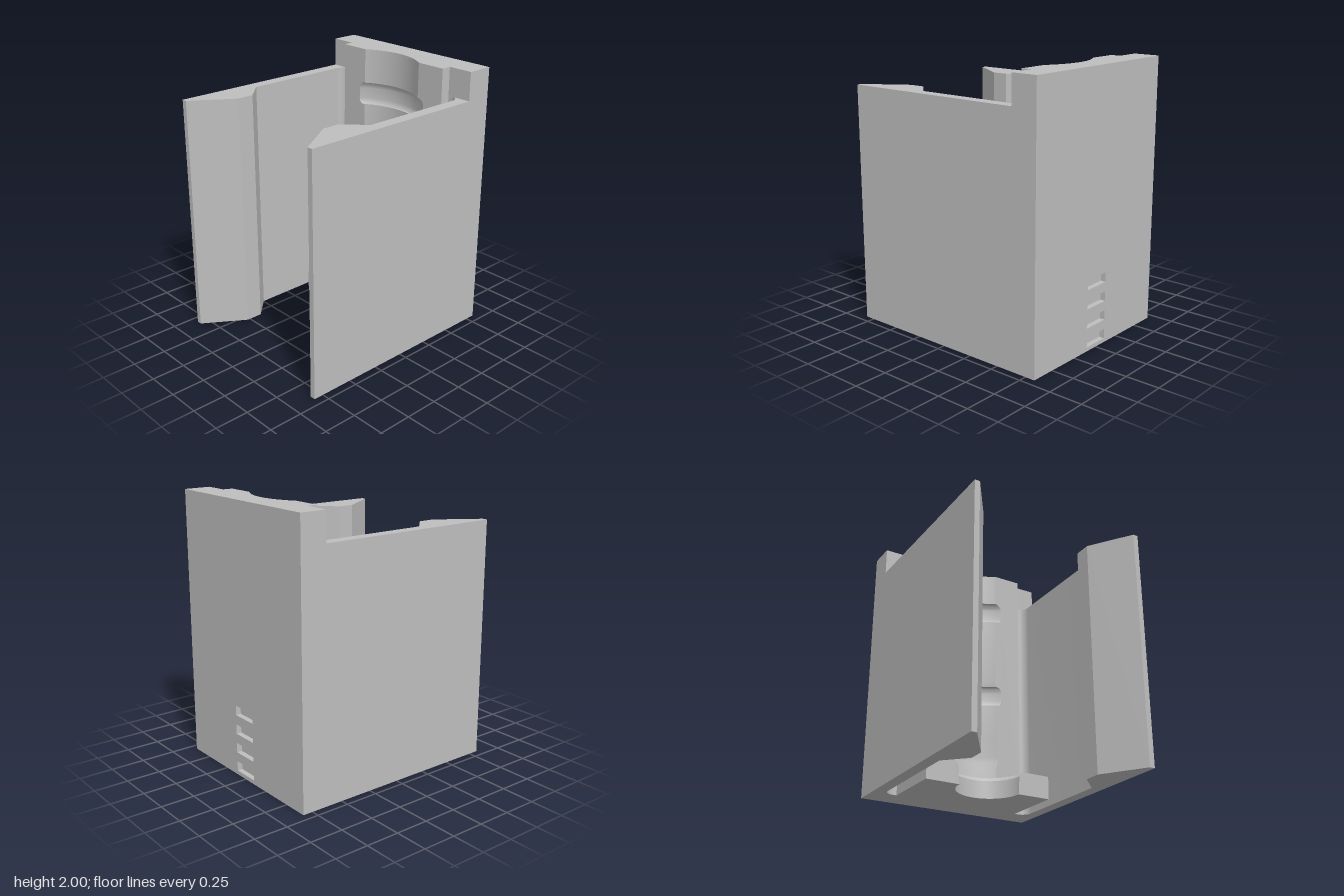
import * as THREE from 'three';
import { toCreasedNormals } from 'three/addons/utils/BufferGeometryUtils.js';

const AXIS_Z = -0.15;   // vertical axis of the holder bore
const FACE_Z = -0.55;   // front face of the raised pad
const CORE_Z = -0.68;   // front of the solid back wall

// Half-widths of the bore where it meets the pad face: [halfWidth, y]
const bore = [
  [0.274, 2], [0.274, 1.74], [0.30, 1.735], [0.325, 1.712], [0.33, 1.69], [0.33, 1.61], [0.325, 1.585], [0.305, 1.57],
  [0.276, 1.57], [0.276, 1.03], [0.285, 0.99], [0.315, 0.985], [0.332, 0.965], [0.335, 0.94], [0.335, 0.88],
  [0.33, 0.85], [0.31, 0.83], [0.284, 0.83], [0.284, 0.70], [0.29, 0.56], [0.304, 0.40], [0.303, 0.36],
  [0.29, 0.31], [0.287, 0.22], [0.28, 0.19], [0.265, 0.17],
];

export function createModel() {
  const model = new THREE.Group();
  const grey = new THREE.MeshStandardMaterial({ color: 0xbebebe });
  grey.name = 'greyPlastic';

  const add = (name, geometry) => {
    const mesh = new THREE.Mesh(geometry, grey);
    mesh.name = name;
    model.add(mesh);
    return mesh;
  };
  const box = (name, x0, x1, y0, y1, z0, z1) =>
    add(name, new THREE.BoxGeometry(x1 - x0, y1 - y0, z1 - z0))
      .position.set((x0 + x1) / 2, (y0 + y1) / 2, (z0 + z1) / 2);
  const outline = (points) => new THREE.Shape(points.map(([a, b]) => new THREE.Vector2(a, b)));
  const extrude = (shape, depth) =>
    new THREE.ExtrudeGeometry(shape, { depth, bevelEnabled: false, curveSegments: 32 });
  // Extrudes a plan of (x, z) points upwards from y = 0
  const plan = (points, height) =>
    toCreasedNormals(extrude(outline(points.map(([x, z]) => [x, -z])), height).rotateX(-Math.PI / 2), 0.5);
  const arc = (cx, cz, r, from, to, n) => Array.from({ length: n + 1 }, (_, i) => {
    const a = from + (to - from) * i / n;
    return [cx + r * Math.cos(a), cz + r * Math.sin(a)];
  });

  // Back plate with four shallow slots
  const plate = outline([[-0.69, 0], [0.69, 0], [0.69, 2], [-0.69, 2]]);
  for (let i = 0; i < 4; i++) {
    const y = 0.03 + i * 0.143;
    plate.holes.push(new THREE.Path([[-0.105, y], [-0.105, y + 0.072], [0.105, y + 0.072], [0.105, y]]
      .map(([a, b]) => new THREE.Vector2(a, b))));
  }
  add('slottedBackPlate', extrude(plate, 0.04).translate(0, 0, -0.825));
  box('backWall', -0.69, 0.69, 0, 2, -0.785, CORE_Z);

  // Shoulders beside the pad and hooked side arms with a filleted root
  for (const s of [-1, 1]) {
    box(s > 0 ? 'leftShoulder' : 'rightShoulder',
      s > 0 ? 0.5 : -0.69, s > 0 ? 0.69 : -0.5, 0, 2, CORE_Z, -0.625);
    const arm = [[0.69, -0.625], ...arc(0.53, -0.555, 0.07, -Math.PI / 2, 0, 10),
      [0.6, 0.245], [0.45, 0.395], [0.45, 0.52], [0.65, 0.825], [0.69, 0.825]];
    add(s > 0 ? 'leftArm' : 'rightArm', plan(arm.map(([x, z]) => [s * x, z]), 1.79));
  }

  // Raised pad, open where the bore cuts its face
  const pad = outline([
    [-0.5, 0.17], [-0.5, 2], ...bore.map(([w, y]) => [-w, y]),
    ...bore.slice().reverse(), [0.5, 2], [0.5, 0.17],
  ]);
  add('pad', extrude(pad, FACE_Z - CORE_Z).translate(0, 0, CORE_Z));

  // Bore surface: arcs about the vertical axis, trimmed at the pad face
  const columns = 40;
  const surface = new THREE.PlaneGeometry(1, 1, columns, bore.length - 1);
  const pos = surface.attributes.position;
  const reach = AXIS_Z - FACE_Z;
  bore.forEach(([w, y], row) => {
    const r = Math.hypot(w, reach), limit = Math.atan2(w, reach);
    for (let c = 0; c <= columns; c++) {
      const a = (c / columns * 2 - 1) * limit;
      pos.setXYZ(row * (columns + 1) + c, r * Math.sin(a), y, AXIS_Z - r * Math.cos(a));
    }
  });
  add('bore', toCreasedNormals(surface, 0.6));

  // Top cap between the wall and the bore
  const topW = bore[0][0], topR = Math.hypot(topW, reach), topA = Math.atan2(topW, reach);
  const cap = outline([[-topW, CORE_Z], [topW, CORE_Z],
    ...arc(0, AXIS_Z, topR, -Math.PI / 2 + topA, -Math.PI / 2 - topA, 40)].map(([x, z]) => [x, -z]));
  add('topCap', new THREE.ShapeGeometry(cap).rotateX(-Math.PI / 2).translate(0, 2, 0));

  // Bottom shelf with a half-round cut
  add('shelf', plan([[-0.5, AXIS_Z], [-0.5, CORE_Z], [0.5, CORE_Z], [0.5, AXIS_Z],
    ...arc(0, AXIS_Z, 0.29, 0, -Math.PI, 48)], 0.17));

  // Tapered collar with a flared lip lining the cut
  const lip = [[0.29, 0.17], [0.262, 0.155], [0.25, 0.135], [0.242, 0], [0.29, 0]];
  const collar = new THREE.LatheGeometry(lip.map(([r, y]) => new THREE.Vector2(r, y)), 48, Math.PI / 2, Math.PI);
  add('collar', toCreasedNormals(collar.translate(0, 0, AXIS_Z), 0.4));
  for (const s of [-1, 1]) {
    add('collarEnd', new THREE.ShapeGeometry(outline(lip.map(([r, y]) => [s * r, y]))).translate(0, 0, AXIS_Z));
  }
  return model;
}
